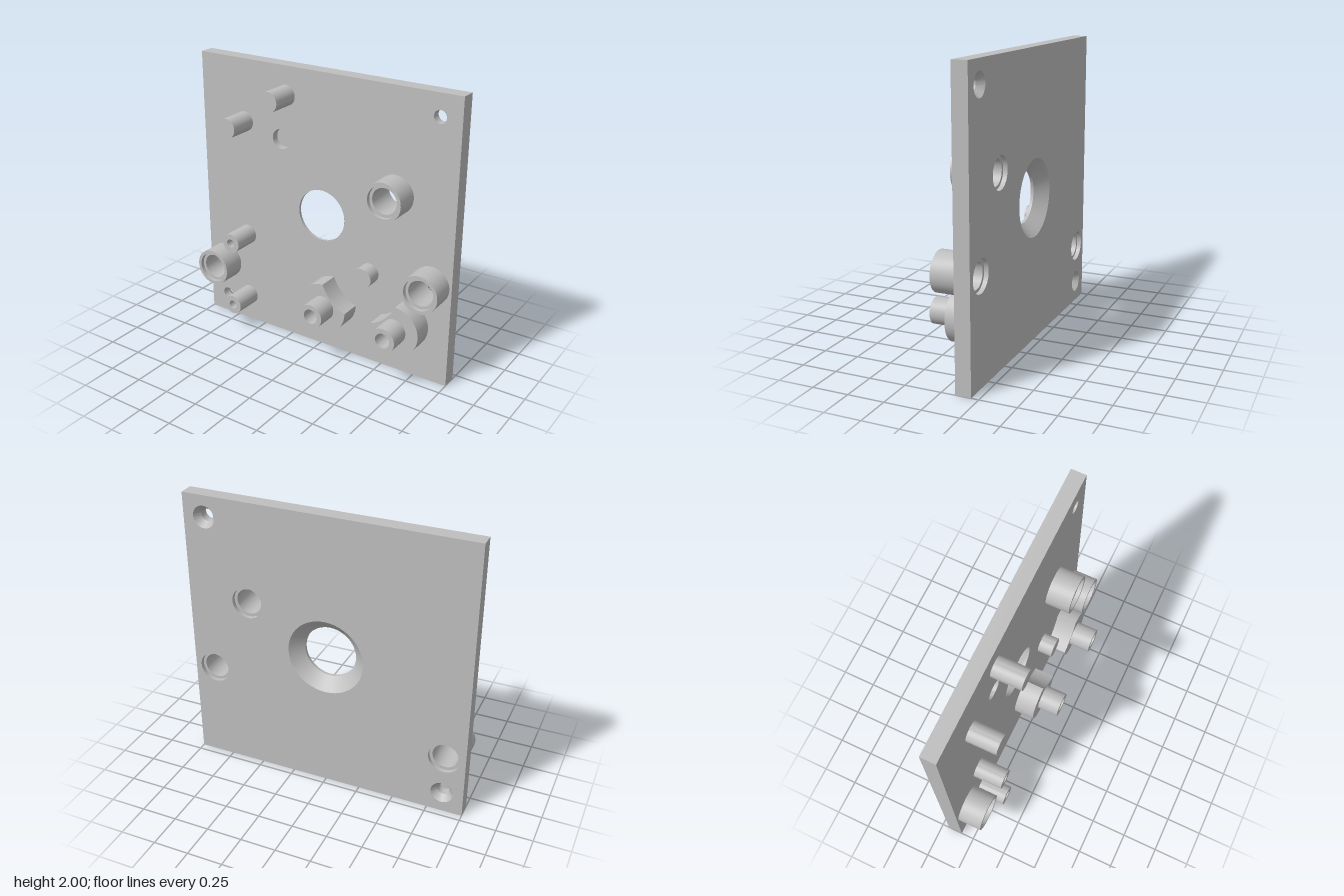
import * as THREE from 'three';
import { toCreasedNormals } from 'three/addons/utils/BufferGeometryUtils.js';

const BACK = -0.2, FACE = -0.095; // plate's rear and front planes (z)

export function createModel() {
  const model = new THREE.Group();
  const metal = new THREE.MeshStandardMaterial({ color: 0xbebebe, side: THREE.DoubleSide });
  metal.name = 'grey metal';

  const add = (name, geometry, x = 0, y = 0, z = 0) => {
    const mesh = new THREE.Mesh(geometry, metal);
    mesh.name = name;
    mesh.position.set(x, y, z);
    model.add(mesh);
    return mesh;
  };

  // Turned part along z, from [radius, z] pairs: up the outside, then down the bore
  const turned = (name, x, y, profile) => {
    const lathe = new THREE.LatheGeometry(profile.map(([r, z]) => new THREE.Vector2(r, z)), 48);
    lathe.rotateX(Math.PI / 2);
    add(name, toCreasedNormals(lathe, 0.6), x, y);
  };

  const frontHoles = [], backHoles = [];
  const hole = (list, x, y, r) =>
    list.push(new THREE.Path().absarc(x, y, r, 0, Math.PI * 2, true));

  // Central opening, flared towards the back
  hole(frontHoles, 0, 1, 0.184);
  hole(backHoles, 0, 1, 0.268);
  turned('centralOpening', 0, 1, [[0.184, FACE], [0.184, FACE - 0.02], [0.268, BACK]]);

  // Countersunk screw holes
  for (const [x, y] of [[0.85, 1.85], [-0.85, 0.15]]) {
    hole(frontHoles, x, y, 0.043);
    hole(backHoles, x, y, 0.078);
    turned('screwHole', x, y, [[0.043, FACE], [0.043, BACK + 0.045], [0.078, BACK]]);
  }

  // Bushings with a stepped bore running through the plate
  for (const [x, y] of [[0.565, 1.285], [0.85, 0.717], [-0.85, 0.435]]) {
    hole(frontHoles, x, y, 0.12);
    hole(backHoles, x, y, 0.11);
    turned('bushing', x, y, [
      [0.133, FACE], [0.133, 0.073], [0.11, 0.073], [0.11, 0.045], [0.089, 0.045],
      [0.089, BACK + 0.03], [0.11, BACK + 0.03], [0.11, BACK],
    ]);
  }

  // Shallow blind pocket
  hole(frontHoles, -0.33, 1.485, 0.07);
  turned('blindPocket', -0.33, 1.485, [[0.07, FACE], [0.07, FACE - 0.05], [0, FACE - 0.05]]);

  // Solid pegs
  for (const [x, y, top] of [[-0.285, 1.8, 0.11], [-0.64, 1.557, 0.11], [0.39, 0.675, 0.01]])
    turned('peg', x, y, [[0.07, FACE], [0.07, top], [0, top]]);

  // Drilled pegs
  for (const y of [0.7, 0.205])
    turned('drilledPeg', -0.64, y,
      [[0.07, FACE], [0.07, 0.11], [0.032, 0.11], [0.032, -0.05], [0, -0.05]]);

  // Pads scooped by a circle around the short peg, each with a drilled boss
  const R = 0.178, cut = 0.304, cx = 0.39, cy = 0.675;
  for (const [x, y] of [[0.108, 0.385], [0.67, 0.385]]) {
    const d = Math.hypot(cx - x, cy - y);
    const mid = Math.atan2(cy - y, cx - x);
    const half = Math.acos((R * R + d * d - cut * cut) / (2 * R * d));
    const angleFromCut = (a) => Math.atan2(y + R * Math.sin(a) - cy, x + R * Math.cos(a) - cx);
    const pad = new THREE.Shape();
    pad.absarc(x, y, R, mid + half, mid - half + Math.PI * 2, false);
    pad.absarc(cx, cy, cut, angleFromCut(mid - half), angleFromCut(mid + half), true);
    const geometry = new THREE.ExtrudeGeometry(pad,
      { depth: 0.05 - FACE, bevelEnabled: false, curveSegments: 32 });
    add('scoopedPad', toCreasedNormals(geometry, 0.6), 0, 0, FACE);
    turned('boss', x, y, [[0.088, 0.05], [0.088, 0.2], [0.053, 0.2], [0.053, 0.03], [0, 0.03]]);
  }

  // Plate faces, pierced by the collected holes
  const plateFace = (holes) => {
    const s = new THREE.Shape([[-1, 0], [1, 0], [1, 2], [-1, 2]].map((p) => new THREE.Vector2(...p)));
    s.holes = holes;
    return new THREE.ShapeGeometry(s, 48);
  };
  add('plateFront', plateFace(frontHoles), 0, 0, FACE);
  // The rear face is turned about, so its holes are laid out mirrored in x
  const mirrored = backHoles.map((p) => {
    const { aX, aY, xRadius } = p.curves[0];
    return new THREE.Path().absarc(-aX, aY, xRadius, 0, Math.PI * 2, true);
  });
  add('plateBack', plateFace(mirrored), 0, 0, BACK).rotation.y = Math.PI;

  // Plate edges
  const thickness = FACE - BACK, midZ = (FACE + BACK) / 2;
  for (const s of [-1, 1]) {
    add('plateSide', new THREE.PlaneGeometry(thickness, 2), s, 1, midZ).rotation.y = s * Math.PI / 2;
    add('plateEnd', new THREE.PlaneGeometry(2, thickness), 0, 1 + s, midZ).rotation.x = -s * Math.PI / 2;
  }
  return model;
}
